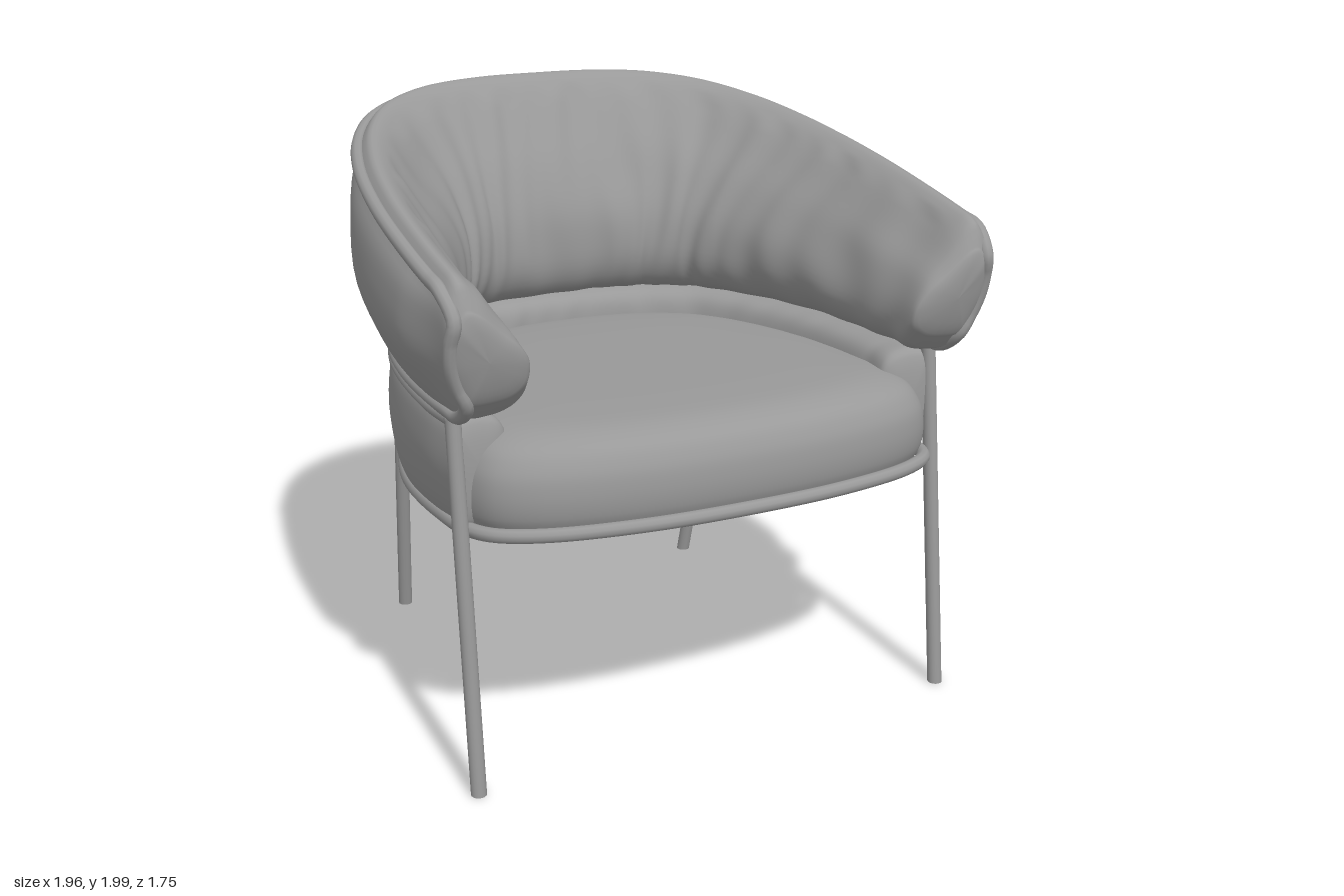
import * as THREE from 'three';

const V = (x, y, z) => new THREE.Vector3(x, y, z);
const lerp = THREE.MathUtils.lerp;
const smooth = THREE.MathUtils.smoothstep;

// Half plans [x, z], from the left arm front to the middle of the back
const topPlan = [[0.92, 0.77], [0.925, 0.45], [0.91, 0.1], [0.865, -0.2], [0.78, -0.46],
  [0.65, -0.66], [0.46, -0.79], [0.24, -0.845], [0, -0.855]];
const seamPlan = [[0.85, 0.69], [0.86, 0.4], [0.84, 0.1], [0.79, -0.15], [0.7, -0.38],
  [0.57, -0.56], [0.38, -0.68], [0.2, -0.72], [0, -0.73]];
const basePlan = [[0.82, 0.56], [0.83, 0.35], [0.815, 0.08], [0.77, -0.15], [0.69, -0.38],
  [0.57, -0.56], [0.38, -0.68], [0.2, -0.73], [0, -0.745]];
const frontPlan = [[0.35, 0.825], [0.64, 0.755], [0.77, 0.67]];

const mirrored = (half) => [...half, ...half.slice(0, -1).reverse().map(([x, z]) => [-x, z])];
const planCurve = (pts, closed = false) =>
  new THREE.CatmullRomCurve3(pts.map(([x, z]) => V(x, 0, z)), closed);

// Skin a list of closed rings of points
function skin(rings) {
  const n = rings[0].length, pos = [], idx = [];
  rings.forEach((r) => r.forEach((p) => pos.push(p.x, p.y, p.z)));
  for (let i = 0; i < rings.length - 1; i++) {
    for (let j = 0; j < n; j++) {
      const k = (j + 1) % n, a = i * n, b = a + n;
      idx.push(a + j, b + j, a + k, b + j, b + k, a + k);
    }
  }
  const g = new THREE.BufferGeometry();
  g.setAttribute('position', new THREE.Float32BufferAttribute(pos, 3));
  g.setIndex(idx);
  g.computeVertexNormals();
  return g;
}

// Rounded end: shrinking copies of a ring pushed towards +z
function capRings(ring, depth) {
  const c = ring.reduce((s, p) => s.add(p), V(0, 0, 0)).divideScalar(ring.length);
  return [0, 0.2, 0.4, 0.6, 0.75, 0.88, 0.96].map((s) => ring.map((p) => {
    const q = p.clone().sub(c).multiplyScalar(s).add(c);
    q.z += depth * Math.sqrt(1 - s * s);
    return q;
  }));
}

// A curved padded wall between a lower and an upper plan.
// Section points are (depth, height fraction, lift); negative depth bulges outward.
function paddedWall(o) {
  const upper = planCurve(mirrored(o.upper)), lower = planCurve(mirrored(o.lower));
  const section = new THREE.CatmullRomCurve3(o.section.map((p) => V(...p)), true).getPoints(56).slice(0, -1);
  const at = (u, d, v0, lift = 0) => {
    const s = Math.abs(2 * u - 1);
    const t = Math.max(0, (s - 0.965) / 0.035);
    const k = 1 - o.round * (1 - Math.sqrt(Math.max(0, 1 - t * t)));
    const v = 0.5 + (v0 - 0.5) * k;
    const a = lower.getPoint(u), b = upper.getPoint(u), tan = upper.getTangent(u);
    const p = a.clone().lerp(b, v);
    let depth = d < 0 ? d * o.bulge(s) : d * o.thick(s);
    if (d > 0.4) depth += o.fold * Math.sin(u * 95 + 2.5 * Math.sin(v * 4 + u * 17)) * Math.sin(u * 37 + v * 3);
    p.x += tan.z * depth;
    p.z -= tan.x * depth;
    p.y = lerp(o.low(a.z), o.high(b.z), v) + lift * k;
    return p;
  };
  const rings = [];
  for (let i = 0; i <= 240; i++) rings.push(section.map((q) => at(i / 240, q.x, q.y, q.z)));
  const all = [...capRings(rings[0], 0.035), ...rings, ...capRings(rings[240], 0.035).reverse()];
  return { geometry: skin(all), at };
}

export function createModel() {
  const group = new THREE.Group();
  const grey = new THREE.MeshStandardMaterial({ color: 0x999999 });
  grey.name = 'grey';
  const add = (name, geometry) => {
    const m = new THREE.Mesh(geometry, grey);
    m.name = name;
    group.add(m);
    return m;
  };
  const tube = (name, pts, r, closed, seg = 200) =>
    add(name, new THREE.TubeGeometry(new THREE.CatmullRomCurve3(pts, closed), seg, r, 10, closed));

  // Backrest that wraps round into the arms
  const back = paddedWall({
    upper: topPlan, lower: seamPlan, round: 0.3, fold: 0.009,
    low: (z) => 1.205 + 0.01 * z,
    high: (z) => 1.762 - 0.21 * z,
    bulge: (s) => 0.035 + 0.05 * smooth(s, 0.3, 0.7) - 0.05 * smooth(s, 0.88, 1),
    thick: (s) => 0.27 - 0.06 * smooth(s, 0.5, 1),
    section: [[0, 0, 0], [-0.6, 0.2, 0], [-1, 0.48, 0], [-0.65, 0.8, 0], [0, 1, 0], [0.16, 1, 0.045],
      [0.38, 0.97, 0.03], [0.66, 0.82, 0], [0.88, 0.62, 0], [1, 0.4, 0], [0.95, 0.2, 0], [0.72, 0.05, 0], [0.35, -0.01, 0]],
  });
  add('backrest', back.geometry);

  // Piping round the outer panel of the backrest
  const piping = [], N = 60;
  for (let i = 0; i <= N; i++) piping.push(back.at(i / N, 0, 1));
  for (const v of [0.75, 0.5, 0.25]) piping.push(back.at(1, -0.8 * Math.sin(v * Math.PI), v));
  for (let i = N; i >= 0; i--) piping.push(back.at(i / N, 0, 0));
  for (const v of [0.25, 0.5, 0.75]) piping.push(back.at(0, -0.8 * Math.sin(v * Math.PI), v));
  tube('backrestPiping', piping, 0.023, true, 400);

  // Lower band round the seat
  const baseY = (z) => 0.785 + 0.0875 * z;
  const band = paddedWall({
    upper: [[0.845, 0.55], ...seamPlan.slice(1)], lower: basePlan, round: 0.05, fold: 0.003,
    low: baseY,
    high: () => 1.18,
    bulge: () => 0.035,
    thick: () => 0.17,
    section: [[0, 0, 0], [-0.8, 0.25, 0], [-1, 0.55, 0], [-0.6, 0.85, 0], [0, 1, 0], [0.5, 1.02, 0],
      [0.9, 0.92, 0], [1, 0.7, 0], [0.95, 0.3, 0], [0.6, 0.05, 0]],
  });
  add('lowerBand', band.geometry);

  // Seat cushion with a sloping underside
  const loop = [...mirrored(basePlan), ...frontPlan.map(([x, z]) => [-x, z]).reverse(), [0, 0.845], ...frontPlan];
  const outline = planCurve(loop, true).getPoints(120).slice(0, -1);
  const profile = new THREE.CatmullRomCurve3([[0, 1.02], [0.35, 1.015], [0.65, 1], [0.82, 0.96], [0.92, 0.85],
    [0.975, 0.65], [0.995, 0.4], [0.99, 0.15], [0.97, 0]].map(([s, h]) => V(s, h, 0))).getPoints(40);
  profile.push(V(0.965, 0, 0), V(0.6, 0, 0), V(0, 0, 0));
  add('seatCushion', skin(profile.map((q) => outline.map((p) => {
    const z = 0.05 + (p.z - 0.05) * q.x;
    return V(p.x * q.x, lerp(baseY(z), 1.125 + 0.03 * z, q.y), z);
  }))));
  tube('seatPiping', outline.map((p) => V(p.x, baseY(p.z), p.z)), 0.023, true, 240);

  // Frame rail between backrest and band
  const rail = mirrored([[0.85, 0.55], ...seamPlan.slice(1)]);
  tube('frameRail', rail.map(([x, z]) => V(x, 1.185, z)), 0.024, false);

  // Leaning legs, cut level at the floor
  const leg = (name, foot, top, h) => {
    const g = new THREE.CylinderGeometry(0.025, 0.025, h, 16).translate(0, h / 2, 0);
    const p = g.attributes.position;
    for (let i = 0; i < p.count; i++) {
      const t = p.getY(i) / h;
      p.setX(i, p.getX(i) + lerp(foot[0], top[0], t));
      p.setZ(i, p.getZ(i) + lerp(foot[1], top[1], t));
    }
    g.computeVertexNormals();
    add(name, g);
  };
  for (const [side, s] of [['Left', 1], ['Right', -1]]) {
    leg('front' + side + 'Leg', [s * 0.855, 0.695], [s * 0.85, 0.555], 1.19);
    leg('back' + side + 'Leg', [s * 0.605, -0.73], [s * 0.665, -0.485], 1.18);
    add('knee' + side, new THREE.SphereGeometry(0.026, 16, 10)).position.set(s * 0.85, 1.187, 0.553);
  }
  return group;
}
